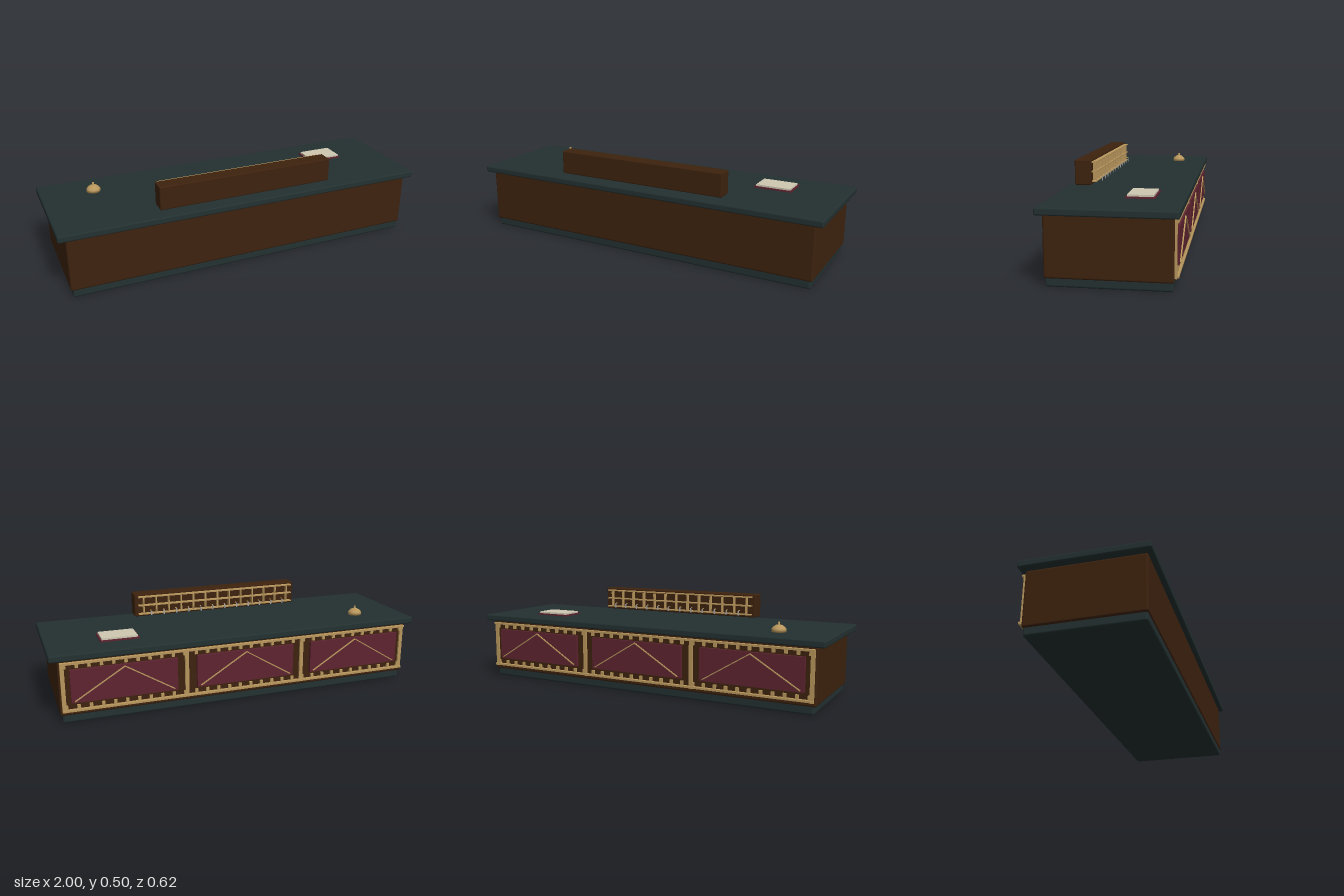
import * as THREE from 'three';
import { RoundedBoxGeometry } from 'three/addons/geometries/RoundedBoxGeometry.js';

const mat = (name, color) => {
  const m = new THREE.MeshStandardMaterial({ color });
  m.name = name;
  return m;
};

export function createModel() {
  const wood = mat('dark wood', 0x3d220e);
  const stone = mat('dark green stone', 0x233030);
  const brass = mat('brass', 0xb8965c);
  const burgundy = mat('burgundy leather', 0x5e2430);
  const paper = mat('paper', 0xcfc8b2);
  const steel = mat('steel', 0xa3a3a3);

  const desk = new THREE.Group();
  desk.name = 'receptionDesk';

  const add = (parent, name, geometry, material, x = 0, y = 0, z = 0) => {
    const mesh = new THREE.Mesh(geometry, material);
    mesh.name = name;
    mesh.position.set(x, y, z);
    parent.add(mesh);
    return mesh;
  };
  // Box given by its limits on each axis; a radius rounds its edges
  const box = (parent, name, material, [x0, x1], [y0, y1], [z0, z1], radius = 0) => {
    const size = [x1 - x0, y1 - y0, z1 - z0];
    const geometry = radius ? new RoundedBoxGeometry(...size, 3, radius) : new THREE.BoxGeometry(...size);
    return add(parent, name, geometry, material, (x0 + x1) / 2, (y0 + y1) / 2, (z0 + z1) / 2);
  };
  const group = (name) => {
    const g = new THREE.Group();
    g.name = name;
    desk.add(g);
    return g;
  };
  const around = (c, width) => [c - width / 2, c + width / 2];

  // Counter
  box(desk, 'plinth', stone, [-0.95, 0.95], [0, 0.05], [-0.28, 0.28], 0.01);
  box(desk, 'body', wood, [-0.96, 0.96], [0.04, 0.328], [-0.285, 0.285], 0.01);
  box(desk, 'countertop', stone, [-1, 1], [0.325, 0.36], [-0.31, 0.31], 0.008);

  // Brass trim on the back: rails, posts and small blocks
  const trim = group('backTrim');
  for (const y of [0.31, 0.069]) box(trim, 'rail', brass, [-0.95, 0.95], around(y, 0.01), [-0.304, -0.285]);
  for (const x of [-0.94, -0.32, 0.32, 0.94]) box(trim, 'post', brass, around(x, 0.02), [0.06, 0.312], [-0.295, -0.283]);
  for (let i = 0; i < 32; i++) {
    const x = -0.93 + i * 0.06;
    box(trim, 'upperBlock', brass, around(x, 0.016), [0.284, 0.306], [-0.295, -0.284]);
    box(trim, 'lowerBlock', brass, around(x, 0.016), [0.073, 0.095], [-0.295, -0.284]);
  }

  // Three inset panels, each with a brass chevron
  for (const x of [-0.638, 0, 0.638]) {
    const panel = group('backPanel');
    box(panel, 'panelField', burgundy, around(x, 0.535), [0.108, 0.277], [-0.301, -0.284]);
    for (const side of [-1, 1]) {
      const dx = 0.25, dy = 0.152;
      const strip = add(panel, 'chevronStrip', new THREE.BoxGeometry(Math.hypot(dx, dy), 0.005, 0.006),
        brass, x + side * dx / 2, 0.193, -0.304);
      strip.rotation.z = -side * Math.atan2(dy, dx);
    }
  }

  // Key rack with a lattice, hooks and hanging keys
  const rack = group('keyRack');
  rack.position.x = -0.003;
  box(rack, 'rackBody', wood, [-0.478, 0.478], [0.375, 0.5], [0.178, 0.26], 0.006);
  for (const y of [0.487, 0.44, 0.392]) box(rack, 'shelf', brass, [-0.46, 0.46], around(y, 0.006), [0.155, 0.18]);
  const pitch = 0.0717;
  for (let i = 0; i <= 12; i++) {
    box(rack, 'divider', brass, around((i - 6) * pitch, 0.007), [0.388, 0.481], [0.158, 0.18]);
  }
  for (let i = 0; i < 12; i++) {
    const x = (i - 5.5) * pitch;
    box(rack, 'hook', brass, around(x, 0.006), around(0.413, 0.004), [0.143, 0.155]);
    box(rack, 'key', steel, around(x, 0.008), [0.388, 0.411], around(0.138, 0.003));
  }

  // Desk bell
  const profile = [[0, 0], [0.037, 0], [0.037, 0.013], [0.034, 0.018], [0.028, 0.025],
    [0.02, 0.031], [0.011, 0.035], [0.005, 0.036], [0.005, 0.05], [0, 0.05]];
  add(desk, 'bell', new THREE.LatheGeometry(profile.map(([r, y]) => new THREE.Vector2(r, y)), 20),
    brass, -0.724, 0.36, -0.141);

  // Guest book
  const book = group('guestBook');
  box(book, 'cover', burgundy, [0.53, 0.73], [0.36, 0.368], [-0.174, -0.036]);
  box(book, 'pages', paper, [0.538, 0.722], [0.368, 0.377], [-0.166, -0.043]);

  return desk;
}
